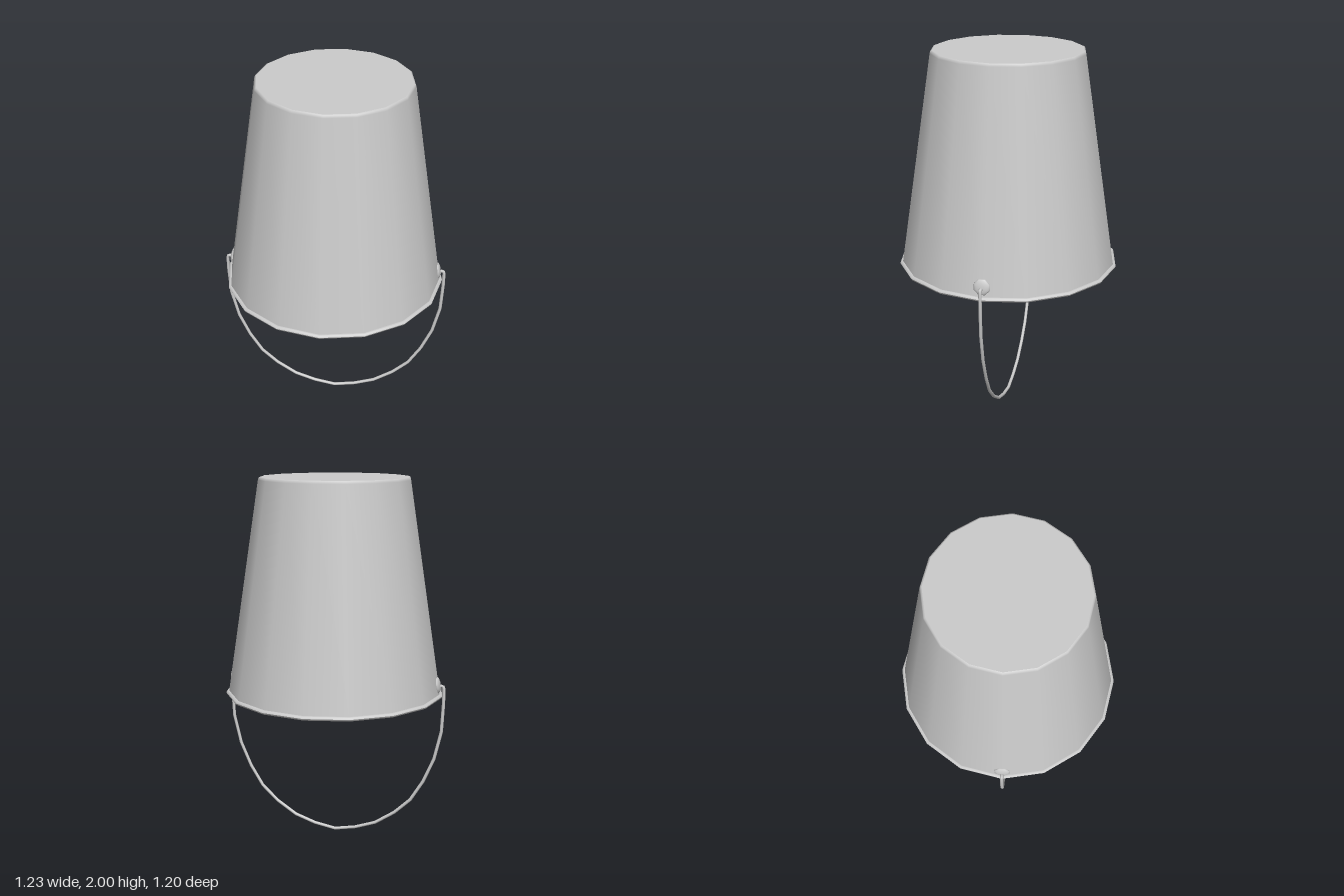
import * as THREE from 'three';

const metal = new THREE.MeshStandardMaterial({ color: 0xcccccc, side: THREE.DoubleSide });

function addMesh(parent, name, geometry) {
  const mesh = new THREE.Mesh(geometry, metal);
  mesh.name = name;
  parent.add(mesh);
  return mesh;
}

function lathe(points, sides) {
  return new THREE.LatheGeometry(points.map(([r, y]) => new THREE.Vector2(r, y)), sides);
}

export function createModel() {
  const group = new THREE.Group();
  group.name = 'upturnedBucket';

  // Thin tapered wall with a slightly rounded base edge
  addMesh(group, 'outerWall', lathe([[0.585, 0.845], [0.408, 1.985], [0.404, 1.997], [0.397, 2]], 16));
  addMesh(group, 'innerWall', lathe([[0.398, 1.98], [0.575, 0.835]], 16));

  // Base, closed on both faces
  addMesh(group, 'base', lathe([[0.397, 2], [0, 2]], 16));
  addMesh(group, 'baseInside', lathe([[0, 1.98], [0.398, 1.98]], 16));

  // Rolled bead around the mouth
  const bead = [];
  for (let i = 0; i <= 8; i++) {
    const a = (i / 8) * Math.PI * 2;
    bead.push([0.587 + 0.013 * Math.cos(a), 0.837 + 0.012 * Math.sin(a)]);
  }
  addMesh(group, 'rimBead', lathe(bead, 16));

  // Domed lugs lying on the sloping wall
  for (const side of [1, -1]) {
    const dome = new THREE.SphereGeometry(0.045, 8, 4, 0, Math.PI * 2, 0, Math.PI / 2);
    dome.scale(1, 0.32, 1);
    dome.rotateY(Math.PI / 8);
    const lug = addMesh(group, side > 0 ? 'leftLug' : 'rightLug', dome);
    lug.position.set(side * 0.574, 0.9, 0);
    lug.rotation.z = side * (0.153 - Math.PI / 2);
  }

  // Wire handle: half outline from the hook down to the lowest point, then mirrored
  const half = [
    [0.582, 0.873], [0.586, 0.89], [0.594, 0.896], [0.604, 0.893], [0.608, 0.88],
    [0.608, 0.8], [0.6, 0.64], [0.563, 0.48], [0.505, 0.345], [0.435, 0.23],
    [0.345, 0.145], [0.235, 0.072], [0.12, 0.032],
  ];
  const path = [
    ...half,
    [0, 0.01],
    ...half.map(([x, y]) => [-x, y]).reverse(),
  ].map(([x, y]) => new THREE.Vector3(x, y, 0));
  const curve = new THREE.CatmullRomCurve3(path);
  // Place one ring on each listed point so the wire keeps its straight facets
  curve.getPointAt = (t, target) => curve.getPoint(t, target);
  curve.getTangentAt = (t, target) => curve.getTangent(t, target);
  addMesh(group, 'wireHandle', new THREE.TubeGeometry(curve, path.length - 1, 0.009, 8, false));

  return group;
}
